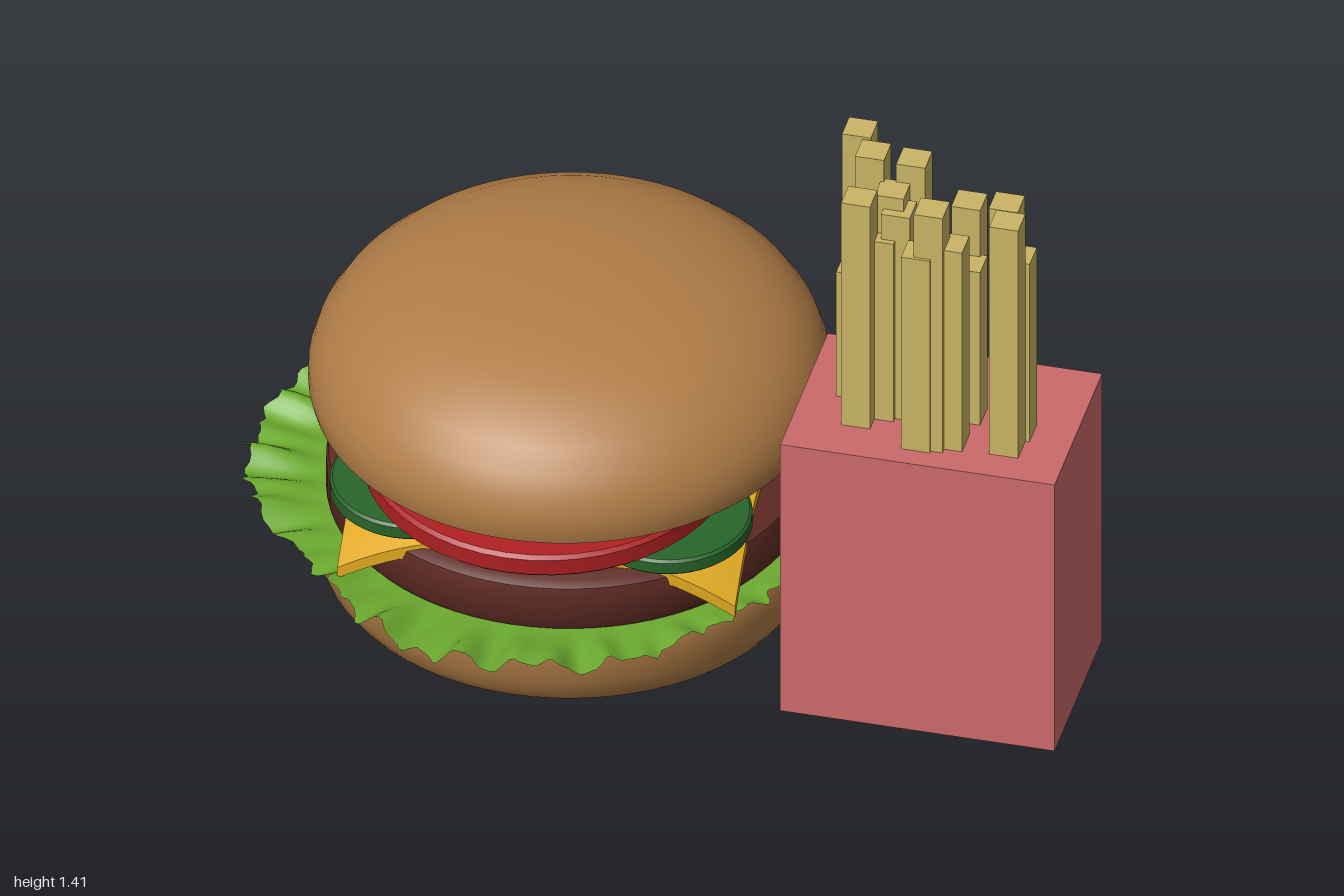
import * as THREE from 'three';
import { toCreasedNormals } from 'three/addons/utils/BufferGeometryUtils.js';

const paint = (name, color, side = THREE.FrontSide) => {
  const m = new THREE.MeshStandardMaterial({ color, side });
  m.name = name;
  return m;
};

// Round solid from [radius, height] points, bottom to top
function turned(points, material, name, sides = 72) {
  const profile = points.map(([r, y]) => new THREE.Vector2(r, y));
  const geo = toCreasedNormals(new THREE.LatheGeometry(profile, sides), 0.7);
  const mesh = new THREE.Mesh(geo, material);
  mesh.name = name;
  return mesh;
}

// Flat slice with softly bevelled rims, centred on its own origin
function slice(radius, thick, material, name) {
  const h = thick / 2, b = thick * 0.15;
  return turned([[0, -h], [radius - b, -h], [radius, -h + b], [radius, h - b], [radius - b, h], [0, h]], material, name, 48);
}

function moveVertices(geo, rule) {
  const pos = geo.attributes.position, uv = geo.attributes.uv, p = new THREE.Vector3();
  for (let i = 0; i < pos.count; i++) {
    p.fromBufferAttribute(pos, i);
    rule(p, uv.getX(i), uv.getY(i));
    pos.setXYZ(i, p.x, p.y, p.z);
  }
  geo.computeVertexNormals();
  return geo;
}

// Outer lettuce radius by angle in degrees (from +x towards +z)
const LEAF = [[0, 0.69], [8, 0.62], [20, 0.61], [45, 0.64], [60, 0.68], [75, 0.72], [90, 0.73], [105, 0.73],
  [120, 0.70], [132, 0.66], [141, 0.66], [155, 0.71], [170, 0.74], [190, 0.745], [205, 0.745], [215, 0.69],
  [225, 0.64], [236, 0.65], [243, 0.72], [255, 0.735], [270, 0.735], [285, 0.735], [297, 0.73], [305, 0.67],
  [315, 0.625], [330, 0.62], [345, 0.65], [352, 0.71], [360, 0.69]];

function leafRadius(deg) {
  let i = 1;
  while (i < LEAF.length - 1 && LEAF[i][0] < deg) i++;
  const [a0, r0] = LEAF[i - 1], [a1, r1] = LEAF[i];
  return THREE.MathUtils.lerp(r0, r1, (deg - a0) / (a1 - a0));
}

function lettuceGeometry() {
  return moveVertices(new THREE.PlaneGeometry(1, 1, 360, 8), (p, u, v) => {
    const a = u * Math.PI * 2;
    const ragged = 0.008 * Math.sin(a * 37) + 0.006 * Math.sin(a * 61 + 1) + 0.005 * Math.sin(a * 97 + 2);
    const r = THREE.MathUtils.lerp(0.45, leafRadius(u * 360) + ragged, v);
    const out = THREE.MathUtils.smoothstep(r, 0.54, 0.72);
    const ruffle = 0.014 * Math.sin(a * 23 + r * 9) + 0.012 * Math.sin(a * 41 + 2) + 0.008 * Math.sin(a * 9 + 1);
    const turn = Math.atan2(Math.sin(a + 0.17), Math.cos(a + 0.17));
    const droop = 0.09 * Math.exp(-((turn / 0.13) ** 2));
    p.set(r * Math.cos(a), 0.225 + out * (0.018 + ruffle - droop), r * Math.sin(a));
  });
}

// Square slice whose corners hang over the patty
function cheeseGeometry() {
  const geo = moveVertices(new THREE.BoxGeometry(0.92, 0.03, 0.92, 32, 1, 32), (p) => {
    const t = Math.max(0, (Math.hypot(p.x, p.z) - 0.49) / 0.16);
    p.y -= 0.105 * t ** 1.3;
  });
  return toCreasedNormals(geo, 0.7);
}

export function createModel() {
  const bun = paint('bun brown', 0xb07c46);
  const meat = paint('patty brown', 0x5e2a23);
  const leaf = paint('lettuce green', 0x6cab30, THREE.DoubleSide);
  const yellow = paint('cheese yellow', 0xe0a820);
  const red = paint('tomato red', 0xb02022);
  const green = paint('pickle green', 0x28642a);
  const pink = paint('carton pink', 0xcc6a6a);
  const potato = paint('fry yellow', 0xcab565);

  const model = new THREE.Group();
  const burger = new THREE.Group();
  burger.name = 'burger';
  burger.position.x = -0.245;
  model.add(burger);

  const add = (parent, mesh, x, y, z, tilt = 0) => {
    mesh.position.set(x, y, z);
    mesh.rotation.x = tilt;
    parent.add(mesh);
    return mesh;
  };
  const named = (geo, material, name) => {
    const mesh = new THREE.Mesh(geo, material);
    mesh.name = name;
    return mesh;
  };

  // Bottom bun and patty
  add(burger, turned([[0, 0], [0.44, 0.003], [0.505, 0.012], [0.545, 0.03], [0.566, 0.06], [0.582, 0.1],
    [0.592, 0.15], [0.596, 0.195], [0.592, 0.212], [0.575, 0.22], [0, 0.22]], bun, 'bottomBun'), 0, 0, 0);
  add(burger, turned([[0, 0.222], [0.54, 0.222], [0.555, 0.24], [0.555, 0.32], [0.55, 0.342],
    [0.53, 0.355], [0, 0.355]], meat, 'patty'), 0, 0, 0);

  // Lettuce and cheese
  add(burger, named(lettuceGeometry(), leaf, 'lettuce'), 0, 0, 0);
  add(burger, named(cheeseGeometry(), yellow, 'cheese'), 0, 0.368, 0).rotation.y = 0.08;

  // Pickle slices: x, y, z, tilt
  [[0.32, 0.41, -0.33, -0.06], [0.29, 0.455, -0.25, -0.06], [-0.28, 0.405, -0.32, -0.06], [-0.26, 0.45, -0.26, -0.06],
    [-0.29, 0.413, 0.31, 0.05], [0.31, 0.413, 0.3, 0.05]]
    .forEach(([x, y, z, tilt]) => add(burger, slice(0.19, 0.042, green, 'pickle'), x, y, z, tilt));

  // Tomato slices leaning to the front and the back
  add(burger, slice(0.43, 0.06, red, 'frontTomato'), 0.005, 0.485, 0.2, 0.07);
  add(burger, slice(0.43, 0.07, red, 'backTomato'), 0, 0.513, -0.17, -0.15);

  // Top bun, tipped forward
  add(burger, turned([[0, 0], [0.575, 0], [0.59, 0.008], [0.596, 0.035], [0.594, 0.075], [0.58, 0.12],
    [0.55, 0.17], [0.505, 0.215], [0.44, 0.258], [0.36, 0.29], [0.26, 0.315], [0.15, 0.33], [0.07, 0.334], [0, 0.335]],
    bun, 'topBun'), 0, 0.52, 0, 0.05);

  // Carton
  add(model, named(new THREE.BoxGeometry(0.645, 0.75, 0.445), pink, 'carton'), 0.6775, 0.375, 0.195);

  // Fries: x, z, top height
  const fries = new THREE.Group();
  fries.name = 'fries';
  model.add(fries);
  [[0.455, 0.068, 1.415], [0.51, 0.073, 1.22], [0.467, 0.17, 1.1], [0.505, 0.145, 1.415], [0.6, 0.138, 1.405],
    [0.565, 0.2, 1.355], [0.55, 0.235, 1.25], [0.585, 0.222, 1.32], [0.505, 0.275, 1.375], [0.73, 0.14, 1.31],
    [0.745, 0.2, 1.18], [0.825, 0.167, 1.34], [0.87, 0.235, 1.25], [0.86, 0.303, 1.39], [0.66, 0.332, 1.29],
    [0.688, 0.325, 1.41], [0.73, 0.31, 1.31]]
    .forEach(([x, z, top]) => add(fries, named(new THREE.BoxGeometry(0.068, top - 0.7, 0.068), potato, 'fry'), x, (top + 0.7) / 2, z));

  return model;
}
